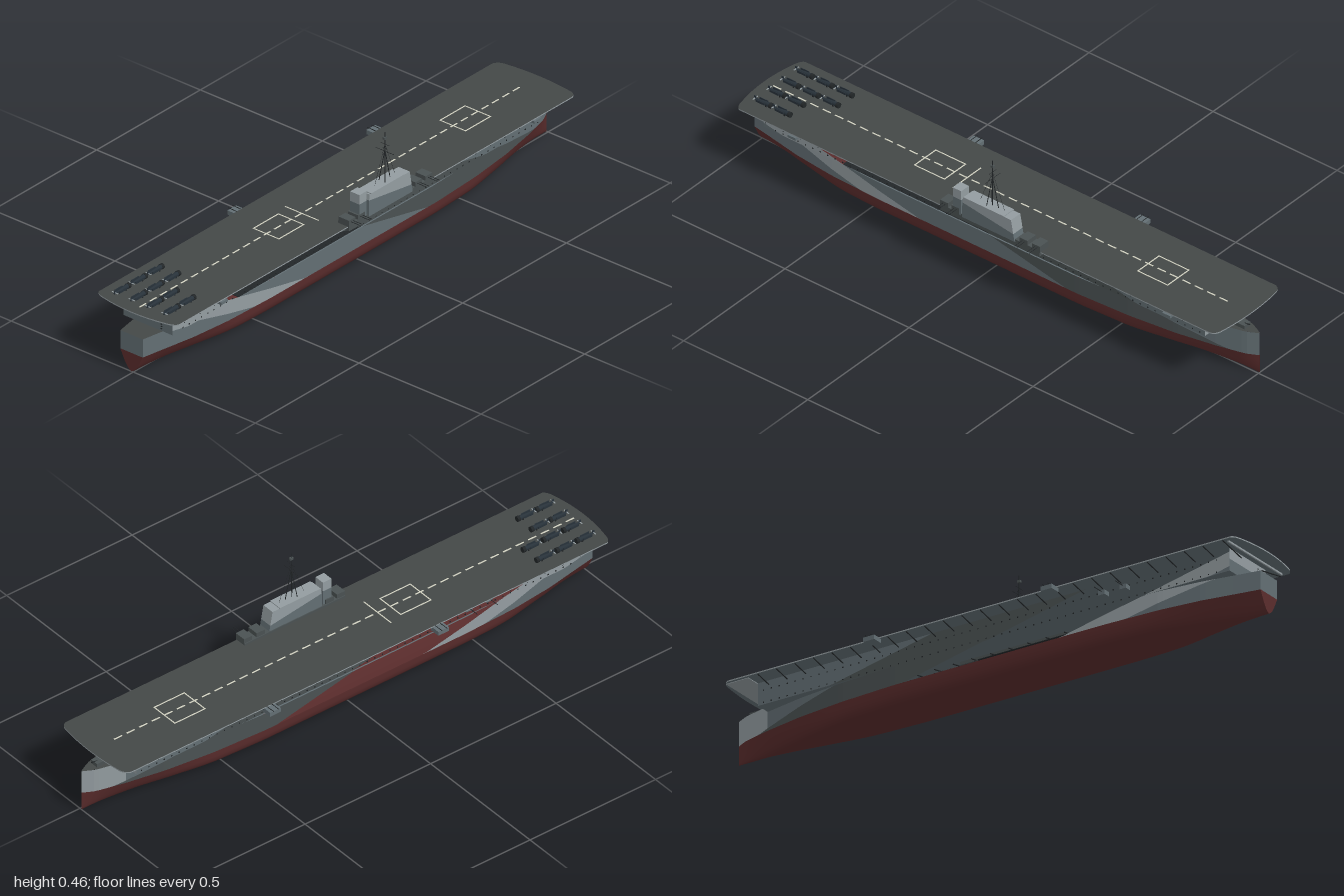
import * as THREE from 'three';

const mat = (name, hex, side = THREE.FrontSide) => {
  const m = new THREE.MeshStandardMaterial({ color: hex, side });
  m.name = name;
  return m;
};

export function createModel() {
  const M = {
    red: mat('antifouling red', 0x5a2c2c, THREE.DoubleSide),
    light: mat('light grey', 0x939ca0),
    mid: mat('mid grey', 0x626e73),
    dark: mat('dark grey', 0x4a5152),
    deck: mat('flight deck grey', 0x444847),
    black: mat('near black', 0x222628, THREE.DoubleSide),
    plane: mat('aircraft blue', 0x28323a),
    mark: mat('deck marking', 0xd0d0c0),
  };
  const ship = new THREE.Group();
  ship.name = 'aircraftCarrier';
  const CX = -0.007;
  const add = (name, geo, m, x = 0, y = 0, z = 0, parent = ship) => {
    const mesh = new THREE.Mesh(geo, m);
    mesh.name = name;
    mesh.position.set(x, y, z);
    parent.add(mesh);
    return mesh;
  };
  const box = (name, m, x0, x1, y0, y1, z0, z1, parent) =>
    add(name, new THREE.BoxGeometry(x1 - x0, y1 - y0, z1 - z0), m, (x0 + x1) / 2, (y0 + y1) / 2, (z0 + z1) / 2, parent);
  const rod = (name, m, a, b, r, parent) => {
    const p = new THREE.Vector3(...a), q = new THREE.Vector3(...b), d = q.clone().sub(p);
    const mesh = add(name, new THREE.CylinderGeometry(r, r, d.length(), 6), m, 0, 0, 0, parent);
    mesh.position.copy(p).add(q).multiplyScalar(0.5);
    mesh.quaternion.setFromUnitVectors(new THREE.Vector3(0, 1, 0), d.normalize());
  };

  // Half beam along the length, bow at -z
  const beam = [[-1, 0.001], [-0.96, 0.022], [-0.86, 0.047], [-0.72, 0.074], [-0.55, 0.094], [-0.35, 0.105],
    [0.45, 0.105], [0.65, 0.098], [0.8, 0.082], [0.92, 0.06], [1, 0.046]];
  const half = (z) => {
    let i = 0;
    while (i < beam.length - 2 && z > beam[i + 1][0]) i++;
    const [a, b] = [beam[i], beam[i + 1]];
    return a[1] + (b[1] - a[1]) * (z - a[0]) / (b[0] - a[0]);
  };
  const hangar = () => 0.1;

  // Underwater hull: V sections at the ends blend into a full midship section
  const full = [[1, 0.066], [0.99, 0.045], [0.95, 0.029], [0.87, 0.017], [0.73, 0.009], [0, 0.002]];
  const vee = [[1, 0.066], [0.8, 0.047], [0.6, 0.029], [0.4, 0.015], [0.22, 0.006], [0, 0]];
  const section = (z) => {
    const t = Math.min(THREE.MathUtils.smoothstep(1 - z, 0, 0.45), THREE.MathUtils.smoothstep(z + 1, 0, 0.5));
    const pts = full.map((f, i) => [half(z) * (vee[i][0] + (f[0] - vee[i][0]) * t), vee[i][1] + (f[1] - vee[i][1]) * t]);
    return [...pts, ...pts.slice(0, -1).reverse().map(([x, y]) => [-x, y])];
  };
  const pos = [], idx = [], N = 60, R = 11;
  for (let i = 0; i <= N; i++) {
    const z = 1 - 2 * i / N;
    section(z).forEach(([x, y]) => pos.push(CX + x, y, z));
    if (i < N) for (let j = 0; j < R - 1; j++) {
      const a = i * R + j, b = a + R;
      idx.push(a, a + 1, b, a + 1, b + 1, b);
    }
  }
  const lower = new THREE.BufferGeometry();
  lower.setAttribute('position', new THREE.Float32BufferAttribute(pos, 3));
  lower.setIndex(idx);
  lower.computeVertexNormals();
  add('lowerHull', lower, M.red);
  const cap = new THREE.Shape(section(1).map(([x, y]) => new THREE.Vector2(x, y)));
  add('lowerTransom', new THREE.ShapeGeometry(cap), M.red, CX, 0, 1);

  // Camouflaged sides: each column is cut by sloping paint lines
  const tris = { light: [], mid: [], dark: [], deck: [] };
  const quad = (key, a, b, c, d, flip) =>
    (flip ? [a, c, b, a, d, c] : [a, b, c, a, c, d]).forEach((p) => tris[key].push(...p));
  const lines = [
    (z) => 0.015 + 0.206 * (z - 0.28),
    (z) => 0.065 + 0.206 * (z - 0.28),
    (z) => 0.13 + 0.21 * z,
    (z) => 0.21 + 0.205 * (z + 0.2),
  ];
  const starboard = ['mid', 'light', 'mid', 'dark', 'mid'];
  const portBow = ['mid', 'light', 'mid', 'dark', 'light'];
  // The third paint area is an open bay on the listed sides
  const band = (z0, z1, y0, y1, width, columns, openSides, portPaint = starboard) => {
    for (let i = 0; i < columns; i++) {
      const a = z0 + (z1 - z0) * i / columns, b = z0 + (z1 - z0) * (i + 1) / columns;
      const cuts = (z) => [y0, ...lines.map((f) => THREE.MathUtils.clamp(f(z), y0, y1)), y1];
      const ca = cuts(a), cb = cuts(b);
      for (const s of [1, -1]) (s > 0 ? starboard : portPaint).forEach((paint, j) => {
        if (j === 2 && openSides.includes(s)) return;
        if (ca[j + 1] - ca[j] + cb[j + 1] - cb[j] < 1e-6) return;
        const xa = CX + s * width(a), xb = CX + s * width(b);
        quad(paint, [xa, ca[j], a], [xb, cb[j], b], [xb, cb[j + 1], b], [xa, ca[j + 1], a], s < 0);
      });
    }
  };
  band(1, -0.86, 0.066, 0.131, half, 100, [-1]);
  band(-0.86, -1, 0.066, 0.15, half, 8, [], portBow);
  band(0.92, -0.86, 0.131, 0.21, hangar, 100, [1, -1]);

  // Level strips from an inner to an outer width; they face down where the order reverses
  const level = (key, z0, z1, y, inner, outer, n) => {
    for (let i = 0; i < n; i++) {
      const a = z0 + (z1 - z0) * i / n, b = z0 + (z1 - z0) * (i + 1) / n;
      for (const s of [1, -1]) {
        const X = (f, z) => CX + s * f(z);
        quad(key, [X(inner, a), y, a], [X(outer, a), y, a], [X(outer, b), y, b], [X(inner, b), y, b], s < 0);
      }
    }
  };
  level('deck', 1, 0.92, 0.131, () => 0, half, 1);
  level('mid', 0.92, -0.86, 0.131, hangar, half, 40);
  level('deck', -0.86, -1, 0.15, () => 0, half, 6);
  const wall = (key, z, w, y0, y1, aft) =>
    quad(key, [CX - w, y0, z], [CX + w, y0, z], [CX + w, y1, z], [CX - w, y1, z], !aft);
  wall('mid', 1, half(1), 0.066, 0.131, true);
  wall('mid', 0.92, 0.1, 0.131, 0.172, true);
  wall('light', 0.92, 0.1, 0.172, 0.21, true);
  wall('light', -0.86, 0.1, 0.131, 0.21, false);
  for (const key in tris) {
    const g = new THREE.BufferGeometry();
    g.setAttribute('position', new THREE.Float32BufferAttribute(tris[key], 3));
    g.computeVertexNormals();
    add(key + 'HullPaint', g, M[key]);
  }
  box('hangarFloor', M.black, CX, CX + 0.099, 0.129, 0.131, -0.1, 0.6);

  // Flight deck with gently curved ends, over a painted underside
  const s = new THREE.Shape();
  s.moveTo(-0.17, -0.965);
  s.lineTo(-0.17, 0.93);
  s.quadraticCurveTo(-0.165, 0.95, -0.14, 0.955);
  s.quadraticCurveTo(CX, 0.975, 0.13, 0.955);
  s.quadraticCurveTo(0.155, 0.95, 0.157, 0.93);
  s.lineTo(0.157, -0.965);
  s.quadraticCurveTo(0.15, -0.98, 0.12, -0.985);
  s.quadraticCurveTo(CX, -1.013, -0.135, -0.985);
  s.quadraticCurveTo(-0.165, -0.98, -0.17, -0.965);
  const slice = (name, depth, y, mats) => {
    const g = new THREE.ExtrudeGeometry(s, { depth, bevelEnabled: false, curveSegments: 8 });
    g.rotateX(-Math.PI / 2);
    add(name, g, mats, 0, y, 0);
  };
  slice('flightDeck', 0.002, 0.211, [M.deck, M.light]);
  slice('deckUnderside', 0.002, 0.209, [M.mid, M.light]);
  box('bowDeckSoffit', M.light, -0.16, 0.147, 0.207, 0.209, -0.945, -0.861);
  box('aftDeckBeam', M.light, -0.155, 0.142, 0.203, 0.209, 0.945, 0.95);

  // Deck markings
  const stripe = (name, x0, x1, z0, z1) => box(name, M.mark, x0, x1, 0.2125, 0.2142, z0, z1);
  for (let z = -0.87; z < 0.94; z += 0.05) stripe('centreDash', CX - 0.0025, CX + 0.0025, z, z + 0.032);
  for (const [z0, z1] of [[-0.67, -0.55], [0.23, 0.35]]) {
    for (const z of [z0, z1]) stripe('liftOutline', -0.062, 0.046, z - 0.002, z + 0.002);
    for (const x of [-0.06, 0.044]) stripe('liftOutline', x - 0.002, x + 0.002, z0, z1);
  }
  stripe('barrierLine', -0.075, 0.063, 0.178, 0.182);

  // Overhang struts, the last pair reaching further in behind the hangar
  const strut = (side, z, inner, y) =>
    rod('deckStrut', M.black, [CX + side * inner, y, z], [side > 0 ? 0.155 : -0.168, 0.207, z], 0.002);
  for (const side of [1, -1]) {
    for (let z = -0.82; z < 0.92; z += 0.07) strut(side, z, 0.1, 0.195);
    strut(side, 0.935, 0.057, 0.187);
  }

  // Portholes and the aft ladder
  for (let z = -0.84; z < 0.9; z += 0.03) for (const side of [1, -1]) for (const y of [0.138, 0.18]) {
    const x = CX + side * 0.1;
    box('porthole', M.black, x - 0.001, x + 0.001, y - 0.002, y + 0.002, z - 0.002, z + 0.002);
  }
  for (let y = 0.138; y < 0.2; y += 0.008) box('aftLadderRung', M.black, 0.046, 0.051, y, y + 0.003, 0.92, 0.922);

  // Side galleries and guns
  for (const z of [-0.38, 0.29]) {
    box('portGallery', M.mid, -0.2, -0.162, 0.195, 0.21, z - 0.021, z + 0.021);
    for (const d of [-0.01, 0.01]) rod('portGun', M.black, [-0.17, 0.212, z + d], [-0.205, 0.213, z + d], 0.0012);
  }
  for (const z of [-0.76, 0.75]) box('starboardGallery', M.mid, 0.14, 0.162, 0.198, 0.207, z - 0.016, z + 0.016);
  for (const z of [0.45, 0.53]) {
    box('hullGunSponson', M.mid, -0.128, -0.104, 0.163, 0.178, z - 0.012, z + 0.012);
    rod('hullGun', M.black, [-0.12, 0.174, z], [-0.168, 0.174, z], 0.0012);
  }
  rod('bowGun', M.black, [CX, 0.155, -0.9], [CX, 0.165, -0.96], 0.002);
  box('bowGunMount', M.dark, CX - 0.015, CX + 0.015, 0.15, 0.163, -0.95, -0.91);

  // Island with sloping ends, drawn in the side plane and extruded across x
  const island = new THREE.Group();
  island.name = 'island';
  ship.add(island);
  const slab = (name, m, pts, x0, x1) => {
    const g = new THREE.ExtrudeGeometry(new THREE.Shape(pts.map(([z, y]) => new THREE.Vector2(-z, y))),
      { depth: x1 - x0, bevelEnabled: false });
    g.rotateY(Math.PI / 2);
    add(name, g, m, x0, 0, 0, island);
  };
  slab('islandLower', M.mid, [[0.06, 0.213], [-0.152, 0.213], [-0.147, 0.24], [0.058, 0.27]], 0.12, 0.166);
  slab('islandUpper', M.light, [[0.058, 0.27], [-0.147, 0.24], [-0.138, 0.29], [0.055, 0.29]], 0.12, 0.166);
  box('islandBase', M.dark, 0.117, 0.162, 0.198, 0.22, -0.25, 0.15, island);
  box('towerLower', M.mid, 0.124, 0.162, 0.213, 0.272, 0.066, 0.1, island);
  box('towerUpper', M.light, 0.124, 0.162, 0.272, 0.306, 0.066, 0.1, island);
  box('bridgeRoof', M.light, 0.118, 0.168, 0.29, 0.293, -0.11, 0.05, island);
  for (const z of [-0.235, -0.185, 0.09, 0.135]) {
    box('gunTub', M.dark, 0.12, 0.162, 0.213, 0.236, z - 0.016, z + 0.016, island);
    for (const d of [-0.005, 0.005]) rod('islandGun', M.black, [0.15, 0.228, z + d], [0.2, 0.228, z + d], 0.001, island);
  }

  // Tripod mast, yards, radar and rigging
  const mx = 0.143, mz = -0.045;
  rod('mastPole', M.black, [mx, 0.29, mz], [mx, 0.463, mz], 0.0014, island);
  for (const [dx, dz] of [[-0.013, 0.014], [0.013, 0.014], [0, -0.025]])
    rod('mastLeg', M.black, [mx + dx, 0.29, mz + dz], [mx, 0.4, mz], 0.0014, island);
  for (const [y, w] of [[0.395, 0.037], [0.405, 0.01], [0.42, 0.018]])
    rod('yard', M.black, [mx - w, y, mz], [mx + w, y, mz], 0.0008, island);
  box('radar', M.dark, mx - 0.004, mx + 0.004, 0.438, 0.446, mz - 0.006, mz + 0.006, island);
  for (const dz of [-0.05, 0.05]) rod('rigging', M.black, [mx, 0.29, mz + dz], [mx, 0.42, mz], 0.0005, island);

  // Parked aircraft with folded wings, noses toward the bow
  const plane = (x, z) => {
    const g = new THREE.Group();
    g.name = 'aircraft';
    g.position.set(x, 0.222, z);
    ship.add(g);
    const body = new THREE.CylinderGeometry(0.009, 0.0025, 0.068, 10);
    body.rotateX(-Math.PI / 2);
    add('fuselage', body, M.plane, 0, 0, 0, g);
    const nose = new THREE.CylinderGeometry(0.0095, 0.0095, 0.01, 14);
    nose.rotateX(Math.PI / 2);
    add('engine', nose, M.black, 0, 0, -0.034, g);
    for (const side of [-1, 1]) {
      box('foldedWing', M.plane, side * 0.009 - 0.001, side * 0.009 + 0.001, -0.003, 0.005, -0.015, 0.02, g);
      box('wheel', M.black, side * 0.006 - 0.001, side * 0.006 + 0.001, -0.009, -0.003, -0.02, -0.015, g);
    }
    box('tailplane', M.light, -0.012, 0.012, 0.001, 0.0025, 0.028, 0.032, g);
    box('fin', M.plane, -0.0008, 0.0008, 0, 0.01, 0.026, 0.034, g);
  };
  [-0.113, -0.045, 0.022, 0.09].forEach((x, i) =>
    (i < 2 ? [0.765, 0.845, 0.925] : [0.85, 0.925]).forEach((z) => plane(x, z)));

  return ship;
}
